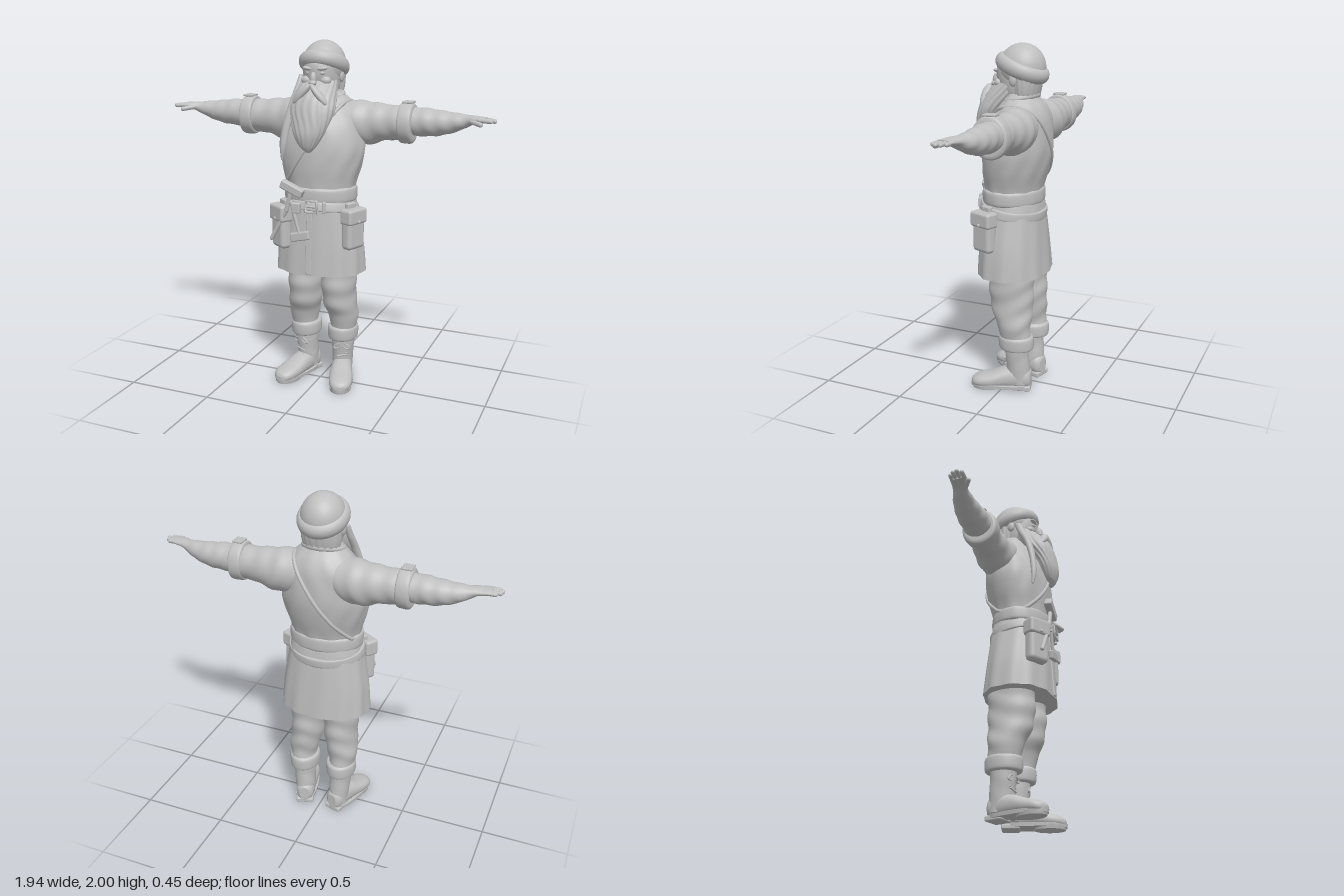
import * as THREE from 'three';
import { mergeVertices } from 'three/addons/utils/BufferGeometryUtils.js';
import { RoundedBoxGeometry } from 'three/addons/geometries/RoundedBoxGeometry.js';

const clay = new THREE.MeshStandardMaterial({ color: 0xbfbfbf });
clay.name = 'clay grey';

// Smooth interpolation through a list of rings [t, c1, c2, r1, r2]; u runs 0..1
function sample(rings, u) {
  const f = u * (rings.length - 1), i = Math.min(Math.floor(f), rings.length - 2), k = f - i;
  const at = (n) => rings[Math.max(0, Math.min(rings.length - 1, n))];
  return rings[0].map((_, d) => {
    const [a, b, c, e] = [at(i - 1)[d], at(i)[d], at(i + 1)[d], at(i + 2)[d]];
    return b + 0.5 * k * (c - a + k * (2 * a - 5 * b + 4 * c - e + k * (3 * (b - c) + e - a)));
  });
}

// Closed skin over elliptical rings stacked along an axis; fold scales the radius
function loft(rings, { axis = 'y', seg = 40, sub = 6, fold = () => 1, pow = 1 } = {}) {
  const pos = [], idx = [], n = (rings.length - 1) * sub;
  const put = {
    x: (t, a, b, c, s, r, q) => [t, a + r * s, b + q * c],
    y: (t, a, b, c, s, r, q) => [a + r * c, t, b + q * s],
    z: (t, a, b, c, s, r, q) => [a + r * s, b + q * c, t],
  }[axis];
  const bend = (v) => Math.sign(v) * Math.abs(v) ** pow;
  const ring = (i, size = 1) => {
    const [t, c1, c2, r1, r2] = sample(rings, i / n);
    for (let j = 0; j < seg; j++) {
      const a = (j / seg) * Math.PI * 2, f = fold(a, t) * size;
      pos.push(...put(t, c1, c2, bend(Math.cos(a)), bend(Math.sin(a)), r1 * f, r2 * f));
    }
  };
  ring(0, 0); ring(0);
  for (let i = 0; i <= n; i++) ring(i);
  ring(n); ring(n, 0);
  for (let i = 0; i < n + 4; i++) {
    if (i === 1 || i === n + 2) continue; // sharp cap edges
    for (let j = 0; j < seg; j++) {
      const a = i * seg + j, b = i * seg + (j + 1) % seg;
      idx.push(a, a + seg, b + seg, a, b + seg, b);
    }
  }
  const g = new THREE.BufferGeometry();
  g.setAttribute('position', new THREE.Float32BufferAttribute(pos, 3));
  g.setIndex(idx);
  g.computeVertexNormals();
  return g;
}

// Mirror a geometry across x = 0, keeping its faces outward
function mirror(geo) {
  const g = mergeVertices(geo.clone(), 1e-6).scale(-1, 1, 1), ix = g.index.array;
  for (let i = 0; i < ix.length; i += 3) [ix[i], ix[i + 1]] = [ix[i + 1], ix[i]];
  return g;
}

function limb(a, b, r) {
  const A = new THREE.Vector3(...a), B = new THREE.Vector3(...b), d = B.clone().sub(A);
  const q = new THREE.Quaternion().setFromUnitVectors(new THREE.Vector3(0, 1, 0), d.clone().normalize());
  const g = new THREE.CapsuleGeometry(r, d.length(), 5, 12).applyQuaternion(q);
  const m = A.add(B).multiplyScalar(0.5);
  return g.translate(m.x, m.y, m.z);
}
const blob = (x, y, z, rx, ry, rz, tilt = 0) =>
  new THREE.SphereGeometry(1, 24, 16).scale(rx, ry, rz).rotateZ(tilt).translate(x, y, z);
const box = (w, h, d, r) => new RoundedBoxGeometry(w, h, d, 3, r);

export function createModel() {
  const model = new THREE.Group();
  model.name = 'bearded craftsman';
  const add = (name, geo, parent = model) => {
    const m = new THREE.Mesh(geo, clay);
    m.name = name;
    parent.add(m);
    return m;
  };
  const pair = (name, geo) => { add('left ' + name, geo); add('right ' + name, mirror(geo)); };
  const group = (name, x, y, z, yaw = 0, roll = 0, pitch = 0) => {
    const g = new THREE.Group();
    g.name = name;
    g.position.set(x, y, z);
    g.rotation.set(pitch, yaw, roll);
    model.add(g);
    return g;
  };

  // Tunic
  const chest = [[1.15, 0, -0.005, 0.195, 0.155], [1.22, 0, -0.01, 0.207, 0.165], [1.32, 0, -0.02, 0.235, 0.183],
    [1.42, 0, -0.03, 0.25, 0.19], [1.52, 0, -0.04, 0.235, 0.18], [1.6, 0, -0.055, 0.21, 0.155],
    [1.66, 0, -0.06, 0.165, 0.125], [1.71, 0, -0.055, 0.115, 0.09], [1.73, 0, -0.05, 0.1, 0.08]];
  add('tunic body', loft(chest, { seg: 64, fold: (a, t) => 1 + 0.012 * Math.sin(11 * a + 2 * Math.sin(t * 14)) }));
  add('tunic skirt', loft([[0.7, 0, -0.015, 0.262, 0.195], [0.85, 0, -0.012, 0.25, 0.185], [1, 0, -0.01, 0.225, 0.174],
    [1.1, 0, -0.008, 0.207, 0.165], [1.17, 0, -0.005, 0.192, 0.155]],
  { seg: 72, pow: 0.88, fold: (a, t) => 1 + 0.018 * (1.25 - t) * 2 * Math.sin(12 * a + 4 * t) }));
  add('skirt opening flap', box(0.035, 0.37, 0.012, 0.005).rotateX(-0.06).translate(0.0, 0.89, 0.17));
  add('collar', new THREE.TorusGeometry(0.1, 0.018, 12, 40).rotateX(Math.PI / 2 + 0.2).scale(1.05, 1, 0.9).translate(0, 1.7, -0.05));

  // Sleeves, arms and hands
  const creases = (amp, freq) => (a, t) => 1 + amp * Math.sin(t * freq + 2.2 * Math.sin(a) + Math.cos(2 * a));
  pair('sleeve', loft([[0.06, 1.56, -0.07, 0.1, 0.11], [0.17, 1.55, -0.09, 0.122, 0.12], [0.26, 1.545, -0.1, 0.12, 0.108],
    [0.36, 1.555, -0.1, 0.1, 0.094], [0.44, 1.555, -0.097, 0.095, 0.09], [0.49, 1.556, -0.095, 0.095, 0.09]],
  { axis: 'x', sub: 10, fold: creases(0.022, 60) }));
  pair('sleeve cuff', loft([[0.44, 1.557, -0.093, 0.095, 0.088], [0.45, 1.557, -0.093, 0.111, 0.1],
    [0.505, 1.557, -0.093, 0.112, 0.101], [0.518, 1.557, -0.093, 0.092, 0.086]], { axis: 'x', fold: creases(0.012, 30) }));
  pair('cuff tab', box(0.06, 0.012, 0.07, 0.004).translate(0.482, 1.672, -0.093));
  pair('forearm and palm', loft([[0.47, 1.566, -0.1, 0.076, 0.078], [0.56, 1.567, -0.1, 0.078, 0.08],
    [0.66, 1.567, -0.1, 0.069, 0.071], [0.75, 1.575, -0.094, 0.051, 0.056], [0.81, 1.587, -0.083, 0.034, 0.043],
    [0.85, 1.596, -0.07, 0.023, 0.043], [0.89, 1.599, -0.062, 0.018, 0.047], [0.915, 1.599, -0.06, 0.014, 0.043]],
  { axis: 'x', sub: 8, fold: creases(0.025, 75) }));
  [[-0.095, 0.935], [-0.073, 0.955], [-0.05, 0.961], [-0.028, 0.945]].forEach(([z, x], i) =>
    pair('finger ' + (i + 1), limb([0.88, 1.6, z], [x, 1.597, z + 0.006], 0.0115)));
  pair('thumb', limb([0.84, 1.59, -0.04], [0.895, 1.58, -0.006], 0.013));

  // Trousers
  pair('trouser leg', loft([[0.29, 0.12, -0.07, 0.075, 0.09], [0.36, 0.125, -0.066, 0.078, 0.092],
    [0.42, 0.122, -0.056, 0.09, 0.104], [0.5, 0.108, -0.042, 0.094, 0.124], [0.6, 0.104, -0.035, 0.098, 0.133],
    [0.72, 0.104, -0.035, 0.1, 0.132], [0.82, 0.1, -0.03, 0.1, 0.125]], { sub: 10, fold: creases(0.028, 52) }));
  pair('trouser cuff', loft([[0.255, 0.118, -0.072, 0.074, 0.09], [0.268, 0.118, -0.072, 0.087, 0.102],
    [0.325, 0.118, -0.072, 0.088, 0.104], [0.342, 0.118, -0.072, 0.076, 0.092]], { fold: creases(0.015, 20) }));

  // Boots, turned slightly outward
  const turn = (g) => g.rotateY(0.28).translate(0.11, 0, -0.09);
  pair('boot shaft', loft([[0.04, 0.11, -0.09, 0.056, 0.064], [0.12, 0.112, -0.083, 0.06, 0.07],
    [0.2, 0.116, -0.076, 0.064, 0.07], [0.29, 0.118, -0.073, 0.07, 0.074]], { fold: creases(0.012, 60) }));
  pair('boot foot', turn(loft([[-0.068, 0, 0.068, 0.03, 0.045], [-0.045, 0, 0.072, 0.052, 0.062], [0.02, 0, 0.074, 0.058, 0.066],
    [0.09, 0, 0.068, 0.063, 0.06], [0.17, 0.003, 0.053, 0.069, 0.046], [0.235, 0.004, 0.045, 0.063, 0.037],
    [0.272, 0.003, 0.038, 0.042, 0.026], [0.285, 0.002, 0.034, 0.012, 0.012]], { axis: 'z', pow: 0.9 })));
  pair('boot sole', turn(loft([[0.012, 0.002, 0.11, 0.068, 0.178], [0.032, 0.002, 0.11, 0.07, 0.18]], { pow: 0.8 })));
  pair('boot heel', turn(box(0.105, 0.03, 0.1, 0.008).translate(0, 0.015, -0.018)));
  pair('boot ball', turn(loft([[0, 0.002, 0.195, 0.062, 0.085], [0.02, 0.002, 0.195, 0.066, 0.09]])));
  for (let i = 0; i < 5; i++) {
    const y = 0.125 + i * 0.025, z = 0.085 - i * 0.006;
    pair('boot lace ' + (i + 1), turn(limb([-0.025, y, z], [0.025, y + (i % 2 ? 0.012 : -0.004), z], 0.005)));
  }
  for (const s of [-1, 1])
    pair('lace bow', turn(new THREE.TorusGeometry(0.017, 0.005, 8, 16).scale(1.3, 0.7, 1).rotateZ(s * -0.5)
      .translate(s * 0.026, 0.216, 0.082)));

  // Head and face
  add('head', loft([[1.64, 0, -0.05, 0.08, 0.08], [1.7, 0, -0.045, 0.088, 0.09], [1.76, 0, -0.035, 0.1, 0.108],
    [1.82, 0, -0.03, 0.104, 0.12], [1.88, 0, -0.035, 0.1, 0.12], [1.94, 0, -0.04, 0.06, 0.075]]));
  add('hair', loft([[1.69, 0, -0.08, 0.095, 0.06], [1.74, 0, -0.085, 0.107, 0.07], [1.8, 0, -0.085, 0.112, 0.08],
    [1.85, 0, -0.085, 0.11, 0.08]], { seg: 60, fold: (a) => 1 + 0.025 * Math.sin(18 * a) }));
  add('nose', blob(0, 1.795, 0.1, 0.018, 0.038, 0.024));
  add('nose tip', blob(0, 1.775, 0.112, 0.022, 0.017, 0.02));
  pair('brow', blob(0.04, 1.85, 0.078, 0.034, 0.011, 0.017, 0.12));
  pair('eye', blob(0.038, 1.826, 0.072, 0.018, 0.011, 0.013));
  pair('cheek', blob(0.055, 1.785, 0.06, 0.032, 0.025, 0.026));
  pair('ear', blob(0.108, 1.805, -0.045, 0.014, 0.034, 0.022));
  add('beard', loft([[1.405, 0, 0.172, 0.012, 0.012], [1.44, -0.005, 0.168, 0.05, 0.036], [1.5, -0.004, 0.16, 0.085, 0.057],
    [1.57, 0, 0.142, 0.11, 0.067], [1.64, 0, 0.108, 0.127, 0.085], [1.7, 0, 0.07, 0.12, 0.098],
    [1.75, 0, 0.035, 0.109, 0.09], [1.785, 0, 0.01, 0.1, 0.07]],
  { seg: 80, sub: 8, fold: (a, t) => 1 + 0.025 * Math.sin(17 * a + 3 * Math.sin(t * 18)) }));
  pair('moustache', blob(0.05, 1.715, 0.143, 0.075, 0.021, 0.028, -0.85));

  // Hat with a rolled brim and a hanging tail
  const hat = group('hat', 0, 1.865, -0.055, 0, 0, -0.38);
  add('hat crown', new THREE.SphereGeometry(1, 40, 28).scale(0.122, 0.134, 0.132), hat);
  add('hat brim', new THREE.TorusGeometry(0.115, 0.036, 16, 48).rotateX(Math.PI / 2).scale(0.93, 1.2, 1.04), hat);
  add('hanging hat tail', loft([[1.34, -0.185, 0.115, 0.006, 0.006], [1.42, -0.175, 0.12, 0.018, 0.016],
    [1.54, -0.158, 0.105, 0.023, 0.018], [1.66, -0.133, 0.07, 0.024, 0.022], [1.74, -0.12, 0.03, 0.02, 0.024],
    [1.81, -0.112, 0, 0.014, 0.02]], { seg: 20 }));

  // Shoulder strap following the chest, front and back
  const path = [];
  for (const side of [1, -1])
    for (let i = 0; i <= 12; i++) {
      const k = (side > 0 ? i : 12 - i) / 12, x = 0.14 - 0.32 * k, y = 1.66 - 0.47 * k;
      let u = 0;
      while (u < 1 && sample(chest, u)[0] < y) u += 0.01;
      const [, , cz, rx, rz] = sample(chest, u);
      path.push(new THREE.Vector3(x, y, cz + side * rz * Math.sqrt(Math.max(0, 1 - (x / rx) ** 2))));
    }
  add('shoulder strap', new THREE.TubeGeometry(new THREE.CatmullRomCurve3(path, true), 120, 0.011, 8, true));

  // Belts and buckle
  add('waist sash', loft([[1.115, 0, -0.006, 0.2, 0.16], [1.13, 0, -0.006, 0.212, 0.17], [1.185, 0, -0.006, 0.212, 0.17],
    [1.2, 0, -0.006, 0.2, 0.16]], { seg: 56, fold: (a) => 1 + 0.006 * Math.sin(15 * a) }));
  add('tool belt', loft([[-0.026, 0, 0, 0.215, 0.178], [-0.02, 0, 0, 0.224, 0.187], [0.02, 0, 0, 0.22, 0.184],
    [0.026, 0, 0, 0.212, 0.176]], { seg: 56 }).rotateX(-0.16).translate(0, 1.075, -0.006));
  add('belt buckle', new THREE.TorusGeometry(0.045, 0.009, 8, 4).rotateZ(Math.PI / 4).rotateX(-0.05).translate(0.02, 1.105, 0.187));
  add('buckle pin', limb([-0.008, 1.105, 0.19], [0.048, 1.105, 0.19], 0.006));
  add('belt loop', box(0.022, 0.065, 0.02, 0.006).rotateY(0.4).translate(0.09, 1.1, 0.165));

  // Pouches with flap and button
  for (const [name, x, y, z, yaw, w, h] of [['right pouch', -0.183, 0.965, 0.135, -0.6, 0.125, 0.25],
    ['left pouch', 0.228, 0.975, 0.075, 1.2, 0.135, 0.23]]) {
    const p = group(name, x, y, z, yaw);
    add('pouch bag', box(w, h, 0.07, 0.025), p);
    add('pouch flap', box(w + 0.012, h * 0.38, 0.082, 0.016), p).position.set(0, h * 0.32, 0.003);
    add('pouch button', blob(0, h * 0.2, 0.046, 0.01, 0.01, 0.006), p);
    add('pouch hanger', box(w * 0.5, 0.06, 0.03, 0.008), p).position.set(0, h * 0.5, -0.02);
  }

  // Hammer and second tool tucked in the belt
  const hammer = group('hammer', -0.09, 1.2, 0.192, 0, -0.42, 0.04);
  add('hammer head', box(0.14, 0.05, 0.045, 0.01), hammer);
  add('hammer handle', limb([0, -0.02, 0], [0.018, -0.13, 0.002], 0.013), hammer);
  add('hammer handle end', limb([0.018, -0.13, 0.002], [0.0, -0.33, 0.0], 0.012), hammer);
  const tool = group('scraper', -0.045, 0.93, 0.19, 0, 0.22);
  add('scraper blade', box(0.115, 0.05, 0.025, 0.008), tool);
  add('scraper handle', limb([0, 0, 0], [-0.01, 0.2, 0], 0.01), tool);
  add('tool loop', box(0.05, 0.06, 0.03, 0.008).translate(-0.07, 1.09, 0.185));
  return model;
}
